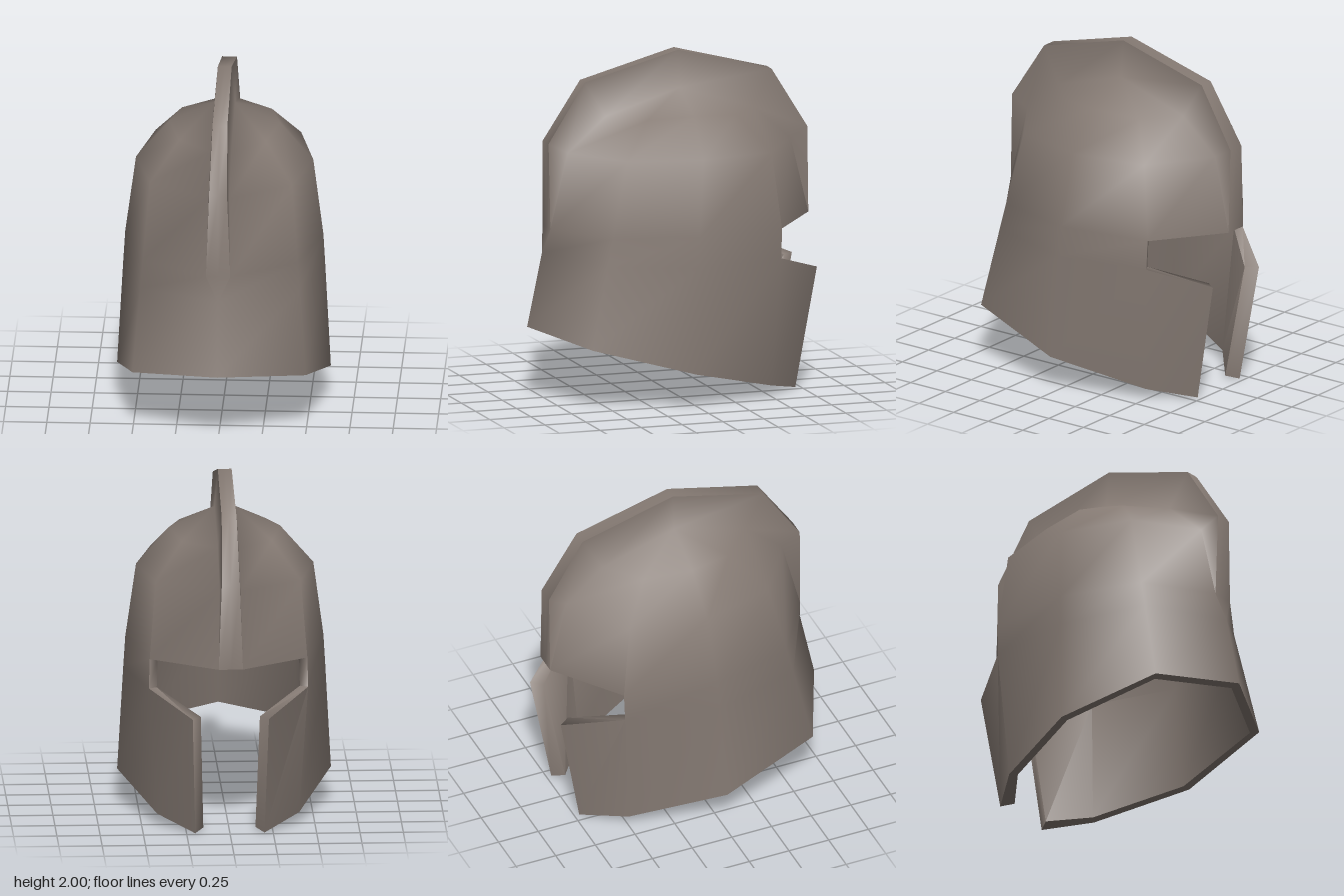
import * as THREE from 'three';
import { toCreasedNormals } from 'three/addons/utils/BufferGeometryUtils.js';

const steel = new THREE.MeshStandardMaterial({ color: 0x857a73, side: THREE.DoubleSide });
steel.name = 'dull steel';

// Half rings of the shell, from the +z centre line round to the face opening
const apex = [0.06, 1.78, -0.06];
const rows = [
  [[0, 0.422, 0.848], [0.5, 0.362, 0.62], [0.617, 0.205, 0.03], [0.41, 0.065, -0.5], [0.2, 0, -0.72]],
  [[0, 0.85, 0.758], [0.46, 0.84, 0.515], [0.583, 0.82, 0], [0.46, 0.82, -0.545], [0.22, 0.705, -0.845]],
  [[0.07, 1, 0.73], [0.447, 1, 0.479], [0.572, 1, -0.01], [0.455, 0.995, -0.55], [0.07, 1, -0.845]],
  [[0.06, 1.44, 0.62], [0.41, 1.44, 0.38], [0.512, 1.44, -0.05], [0.42, 1.44, -0.5], [0.06, 1.44, -0.74]],
  [[0.06, 1.64, 0.39], [0.25, 1.64, 0.2], [0.32, 1.66, -0.06], [0.26, 1.64, -0.34], [0.06, 1.64, -0.51]],
  [apex, apex, apex, apex, apex],
];
const inward = [[0, -1], [-0.75, -0.65], [-1, 0], [-0.85, 0.5], [-0.9, 1.2]];
const drop = [0, 0, 0, 0.03, 0.05, 0.06];
const thickness = 0.055;

// Crest ridge from the nape over the top to the brow
const ridge = [
  [0.07, 1, 0.73], [0.052, 1.5, 0.735], [0.043, 1.845, 0.51], [0.04, 2, -0.06],
  [0.043, 1.85, -0.63], [0.052, 1.5, -0.845], [0.07, 1, -0.845],
];
// The crest grows out of the shell's edges beside the centre line
const foot = [rows[2][0], rows[3][0], rows[4][0], apex, rows[4][4], rows[3][4], rows[2][4]];

const outer = (r, c) => rows[r][c];
const inner = (r, c) => {
  const [x, y, z] = rows[r][c];
  if (r === 5) return [0, y - drop[r], z];
  const onCentre = r > 1 && (c === 0 || c === 4);
  const [dx, dz] = r > 1 && c === 4 ? [0, 1] : inward[c];
  const lift = r === 0 ? 0.27 * dz * thickness : 0;
  return [onCentre ? 0 : x + dx * thickness, y + lift - drop[r], z + dz * thickness];
};
const mid = ([, y, z]) => [0, y, z];

function helmet() {
  const pos = [];
  for (const side of [1, -1]) {
    // the mirrored half reverses its corner order
    const face = (...p) => {
      if (side < 0) p.reverse();
      for (let i = 1; i < p.length - 1; i++)
        for (const [x, y, z] of [p[0], p[i], p[i + 1]]) pos.push(x * side, y, z);
    };

    // outer and inner walls
    for (let r = 0; r < 5; r++) for (let c = 0; c < 4; c++) {
      if (r === 1 && c === 3) continue; // eye slot
      if (r === 4) {
        face(outer(r, c), outer(r, c + 1), apex);
        face(inner(5, c), inner(r, c + 1), inner(r, c));
      } else {
        face(outer(r, c), outer(r, c + 1), outer(r + 1, c + 1), outer(r + 1, c));
        face(inner(r + 1, c), inner(r + 1, c + 1), inner(r, c + 1), inner(r, c));
      }
    }

    // rims: bottom, brow, cheek top, cheek front, slot end
    const under = (r, c) => face(outer(r, c), inner(r, c), inner(r, c + 1), outer(r, c + 1));
    const end = (r, c) => face(outer(r, c), inner(r, c), inner(r + 1, c), outer(r + 1, c));
    for (let c = 0; c < 4; c++) under(0, c);
    under(2, 3);
    face(outer(1, 4), inner(1, 4), inner(1, 3), outer(1, 3));
    end(0, 4);
    end(1, 3);

    // crest walls and top strip
    for (let i = 0; i < 6; i++) {
      if (i === 0) face(foot[0], foot[1], ridge[1]);
      else if (i === 5) face(foot[5], foot[6], ridge[5]);
      else face(foot[i], foot[i + 1], ridge[i + 1], ridge[i]);
      face(mid(ridge[i]), ridge[i], ridge[i + 1], mid(ridge[i + 1]));
    }
    // crest ends at nape and brow
    face(outer(1, 0), ridge[0], mid(ridge[0]));
    face(mid(ridge[6]), ridge[6], inner(2, 4));
  }
  const g = new THREE.BufferGeometry();
  g.setAttribute('position', new THREE.Float32BufferAttribute(pos, 3));
  const mesh = new THREE.Mesh(toCreasedNormals(g, 1.4), steel);
  mesh.name = 'crestedShell';
  return mesh;
}

export function createModel() {
  const group = new THREE.Group();
  group.name = 'helmet';
  group.add(helmet());
  return group;
}
